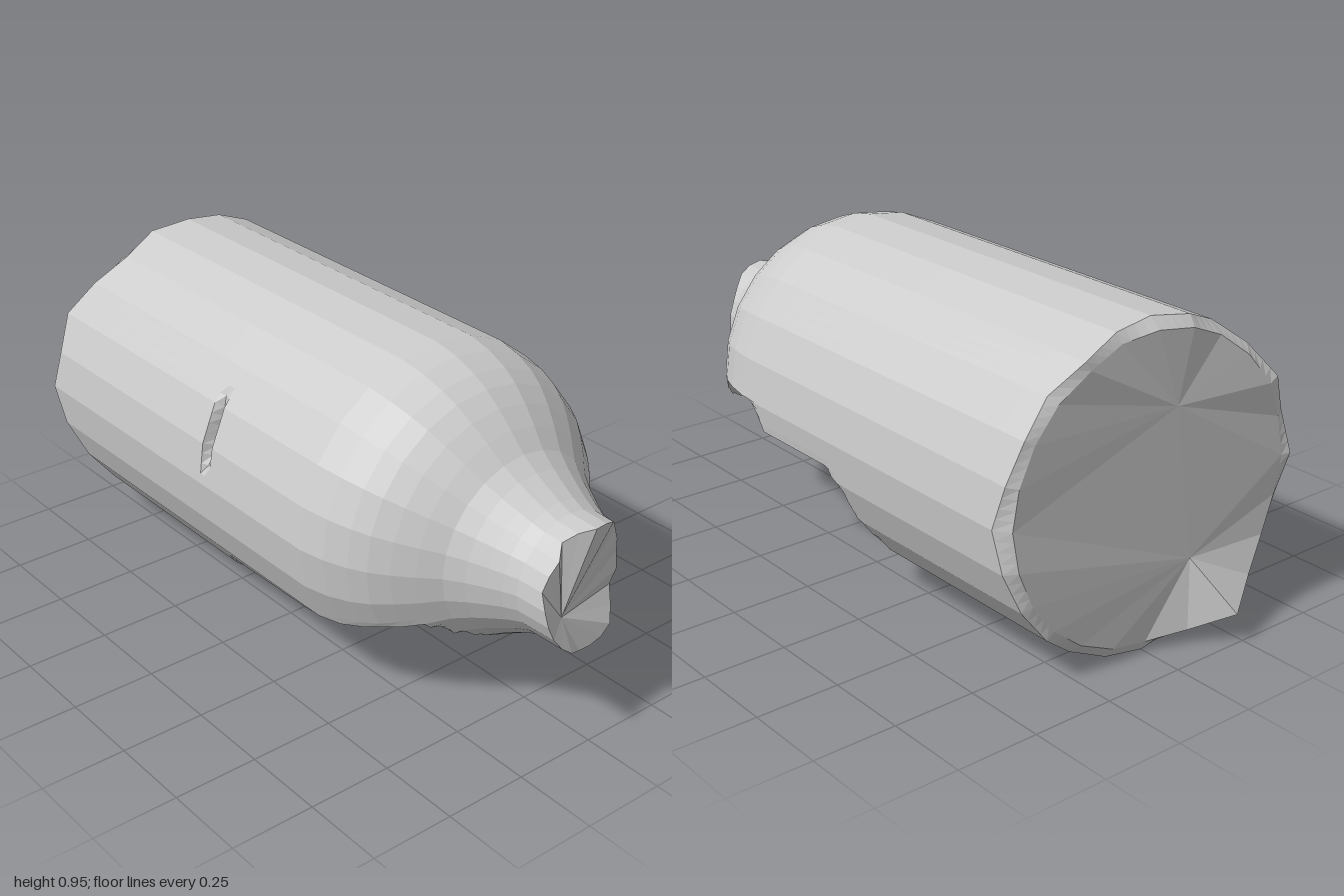
import * as THREE from 'three';

const R = 0.475;      // body radius, also the height of the axis
const SIDES = 24;     // flat sides of the body
const SUB = 4;        // extra points along each side, for crisp break edges
const N = SIDES * SUB;

// Linear lookup of a value in a list of [key, value], keys falling
function lookup(rows, z) {
  if (z >= rows[0][0]) return rows[0][1];
  for (let i = 1; i < rows.length; i++) {
    const [z0, v0] = rows[i - 1], [z1, v1] = rows[i];
    if (z >= z1) return v0 + (v1 - v0) * (z0 - z) / (z0 - z1);
  }
  return rows[rows.length - 1][1];
}

// Value around the axis from one sample per side, starting at the top and going to +x
function around(list, j) {
  const k = Math.floor(j / SUB);
  return THREE.MathUtils.lerp(list[k], list[(k + 1) % SIDES], (j % SUB) / SUB);
}

// Bottle outline: z, radius
const profile = [
  [1.0, 0.177], [0.92, 0.177], [0.88, 0.18], [0.84, 0.195], [0.8, 0.215], [0.75, 0.242],
  [0.7, 0.275], [0.65, 0.325], [0.6, 0.37], [0.55, 0.408], [0.5, 0.435], [0.43, 0.46],
  [0.35, 0.475], [-0.75, 0.475],
];

// Broken-out underside: heights of the break at four x positions, along z
const breakX = [-0.4, 0, 0.18, 0.45];
const breakRows = [
  [0.76, [0, 0, 0, 0]],
  [0.72, [0.23, 0.235, 0.29, 0.3]],
  [0.64, [0.31, 0.28, 0.33, 0.37]],
  [0.6, [0.3, 0.265, 0.36, 0.39]],
  [0.5, [0.265, 0.25, 0.41, 0.48]],
  [0.33, [0.22, 0.225, 0.39, 0.48]],
  [0.26, [0.2, 0.215, 0.36, 0.39]],
  [-0.05, [0.185, 0.2, 0.345, 0.39]],
  [-0.1, [0.18, 0.19, 0.32, 0.335]],
  [-0.13, [0.17, 0.175, 0.25, 0.24]],
  [-0.15, [0.08, 0.08, 0.15, 0.18]],
  [-0.18, [0, 0, 0, 0]],
];
function breakHeight(x, z) {
  const cols = breakX.map((bx, c) => [-bx, lookup(breakRows.map(([rz, h]) => [rz, h[c]]), z)]);
  return lookup(cols, -x);
}

// Jagged ends
const neckRim = [
  0.975, 0.965, 0.95, 0.92, 0.9, 0.895, 0.89, 0.9, 0.895, 0.93, 0.965, 0.975,
  0.98, 0.985, 1, 1, 0.995, 0.99, 0.98, 0.96, 0.965, 0.97, 0.94, 0.955,
];
const baseRim = [
  -0.84, -0.845, -0.86, -0.83, -0.835, -0.82, -0.79, -0.815, -0.835, -0.85, -0.83, -0.85,
  -0.86, -0.855, -0.87, -0.84, -0.86, -0.9, -0.93, -0.9, -0.92, -0.87, -0.83, -0.86,
];
const baseInner = [
  -0.875, -0.86, -0.865, -0.85, -0.845, -0.84, -0.835, -0.845, -0.85, -0.855, -0.86, -0.87,
  -0.875, -0.92, -1, -0.95, -0.925, -0.92, -0.925, -0.915, -0.92, -0.9, -0.88, -0.885,
];

// Point on a many-sided section of unit radius
function unitPoint(j) {
  const k = Math.floor(j / SUB), f = (j % SUB) / SUB, step = (Math.PI * 2) / SIDES;
  const mix = (fn) => THREE.MathUtils.lerp(fn(k * step), fn((k + 1) * step), f);
  return [mix(Math.sin), mix(Math.cos)];
}

function ring(radius, zAt) {
  const pts = [];
  for (let j = 0; j < N; j++) {
    const [ux, uy] = unitPoint(j), z = zAt(j);
    let r = radius;
    // Short crack in the right flank
    const angle = (j / N) * 360;
    if (Math.abs(z + 0.1) < 0.005) r -= 0.06 * Math.max(0, 1 - Math.abs(angle - 290) / 16);
    const x = ux * r;
    let y = R + uy * r;
    if (uy < 0.05) y = Math.max(y, breakHeight(x, z));
    pts.push(x, y, z);
  }
  return pts;
}

// Ring shrunk to an upper and a lower point, where the facets of a break meet
function hub(upper, lower) {
  const pts = [];
  for (let j = 0; j < N; j++) pts.push(...(j < N / 4 || j >= N * 0.75 ? upper : lower));
  return pts;
}

// Join rings, ordered from front to back, into one surface
function loft(rings) {
  const index = [];
  for (let i = 0; i < rings.length - 1; i++) {
    for (let j = 0; j < N; j++) {
      const a = i * N + j, c = i * N + ((j + 1) % N), b = a + N, d = c + N;
      index.push(a, c, b, c, d, b);
    }
  }
  const geo = new THREE.BufferGeometry();
  geo.setAttribute('position', new THREE.Float32BufferAttribute(rings.flat(), 3));
  geo.setIndex(index);
  const flat = geo.toNonIndexed();
  flat.computeVertexNormals();
  return flat;
}

export function createModel() {
  const group = new THREE.Group();
  const material = new THREE.MeshStandardMaterial({ color: 0xcccccc, flatShading: true });
  const add = (name, rings) => {
    const mesh = new THREE.Mesh(loft(rings), material);
    mesh.name = name;
    group.add(mesh);
  };

  // Body with shoulder and neck: rings at every profile, break and crack position
  const zs = [...profile.map((p) => p[0]), ...breakRows.map((b) => b[0]), -0.075, -0.12, 0.56, 0.68]
    .filter((z) => z < 0.885);
  const sorted = [...new Set(zs)].sort((a, b) => b - a);
  const neckEnd = ring(0.177, (j) => around(neckRim, j));
  const baseEnd = ring(R, (j) => around(baseRim, j));
  add('bottleBody', [neckEnd, ...sorted.map((z) => ring(lookup(profile, z), () => z)), baseEnd]);

  // Broken neck face
  const neckHub = [-0.1, 0.42, 0.965];
  add('neckBreak', [hub(neckHub, neckHub), neckEnd]);

  // Broken base face with its raised splinter
  add('baseBreak', [
    baseEnd,
    ring(0.445, (j) => around(baseInner, j)),
    hub([-0.07, 0.7, -0.885], [-0.13, 0.25, -0.9]),
  ]);

  return group;
}
